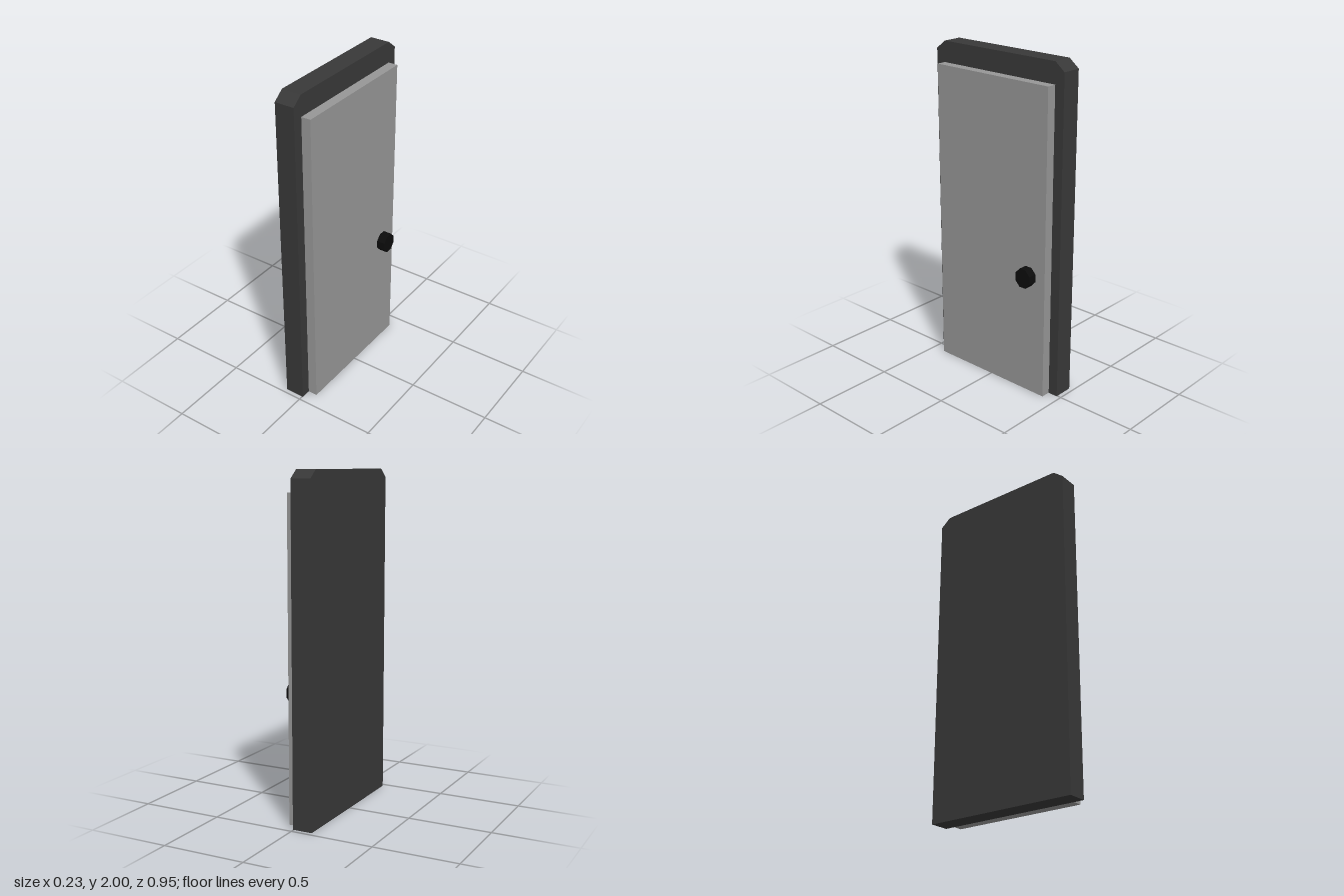
import * as THREE from 'three';

const material = (color) => new THREE.MeshStandardMaterial({ color, flatShading: true });

function addPart(group, name, geometry, color) {
  const mesh = new THREE.Mesh(geometry, material(color));
  mesh.name = name;
  group.add(mesh);
}

export function createModel() {
  const group = new THREE.Group();
  group.name = 'door';

  // Frame: slab with clipped top corners, extruded through its thickness along x
  const w = 0.473, top = 2, clipW = 0.063, clipH = 0.05, depth = 0.12;
  const outline = new THREE.Shape([
    [-w, 0], [w, 0], [w, top - clipH], [w - clipW, top],
    [-w + clipW, top], [-w, top - clipH],
  ].map(([z, y]) => new THREE.Vector2(z, y)));
  const frame = new THREE.ExtrudeGeometry(outline, { depth, bevelEnabled: false });
  frame.rotateY(Math.PI / 2).translate(-0.115, 0, 0);
  addPart(group, 'frame', frame, 0x383838);

  // Door panel standing proud of the frame
  const panel = new THREE.BoxGeometry(0.058, 1.875, 0.824);
  panel.translate(0.034, 1.875 / 2, 0);
  addPart(group, 'doorPanel', panel, 0x969696);

  // Octagonal knob, flats aligned with the axes
  const knob = new THREE.CylinderGeometry(0.057, 0.057, 0.052, 8, 1, false, Math.PI / 8);
  knob.rotateZ(-Math.PI / 2).scale(1, 1.08, 1).translate(0.089, 0.748, -0.291);
  addPart(group, 'knob', knob, 0x0c0c0c);

  return group;
}
